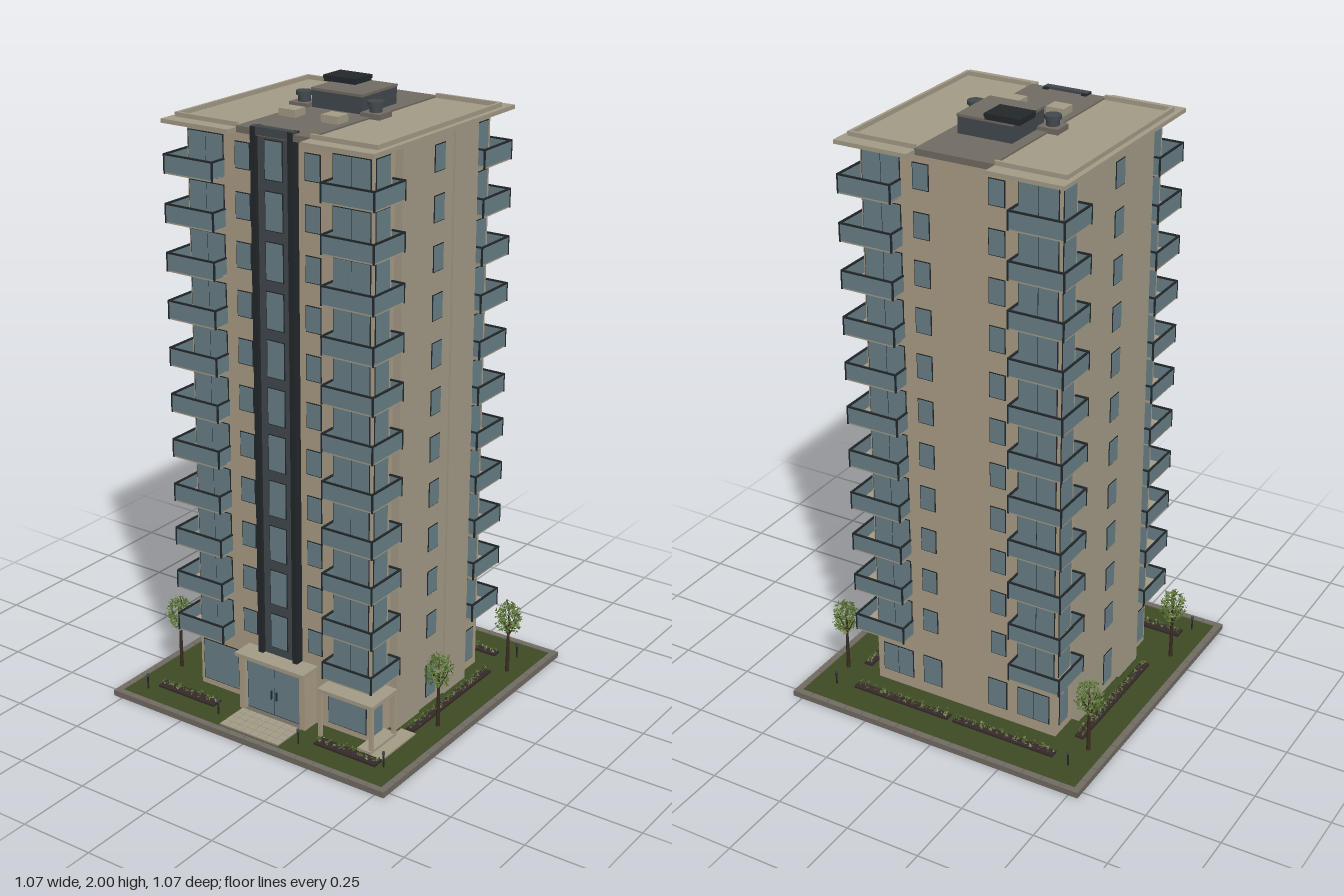
import * as THREE from 'three';
import { mergeGeometries } from 'three/addons/utils/BufferGeometryUtils.js';

const mat = (name, color) => {
  const m = new THREE.MeshStandardMaterial({ color });
  m.name = name;
  return m;
};

export function createModel() {
  const wall = mat('warm wall', 0xaa9c84), stone = mat('pale stone', 0xa39b87);
  const grey = mat('grey paving', 0x706b62), dark = mat('dark metal', 0x41484c);
  const glass = mat('blue grey glass', 0x687f86), frame = mat('black frame', 0x22272a);
  const grass = mat('grass', 0x3e4a24), soil = mat('soil', 0x35292a);
  const leaf = mat('leaf green', 0x5a7434), bark = mat('bark', 0x3a2c22);
  leaf.side = THREE.DoubleSide;

  // Geometry is gathered by part name and merged into one mesh per part
  const parts = new Map();
  const add = (name, material, geo) => {
    if (!parts.has(name)) parts.set(name, { material, list: [] });
    parts.get(name).list.push(geo);
  };
  const box = (name, m, x0, x1, y0, y1, z0, z1) => {
    const g = new THREE.BoxGeometry(Math.abs(x1 - x0), y1 - y0, Math.abs(z1 - z0));
    add(name, m, g.translate((x0 + x1) / 2, (y0 + y1) / 2, (z0 + z1) / 2));
  };
  const cyl = (name, m, r0, r1, h, x, y, z, n = 16) =>
    add(name, m, new THREE.CylinderGeometry(r0, r1, h, n).translate(x, y + h / 2, z));
  let seed = 7;
  const rnd = () => (seed = (seed * 16807) % 2147483647) / 2147483647;

  // Framed window facing along z (or x): a, b span the wall, p is the wall plane, s its outward sign
  const win = (axis, a, b, y0, y1, p, s, panes = 1) => {
    const put = (name, m, u0, u1, v0, v1, d) => axis === 'z'
      ? box(name, m, u0, u1, v0, v1, p - s * 0.002, p + s * d)
      : box(name, m, p - s * 0.002, p + s * d, v0, v1, u0, u1);
    put('windowFrames', frame, a - 0.003, b + 0.003, y0 - 0.003, y1 + 0.003, 0.002);
    const w = (b - a) / panes;
    for (let i = 0; i < panes; i++)
      put('windowPanes', glass, a + i * w + (i ? 0.0015 : 0), a + (i + 1) * w - (i < panes - 1 ? 0.0015 : 0), y0, y1, 0.004);
  };

  // Leaf cluster: small randomly turned triangles around a centre
  const leaves = (name, count, cx, cy, cz, rx, ry, rz, size) => {
    const pos = [];
    for (let i = 0; i < count; i++) {
      const t = rnd() * 6.283, u = rnd() * 2 - 1, r = Math.cbrt(0.15 + 0.85 * rnd()), q = Math.sqrt(1 - u * u);
      const c = [cx + rx * r * q * Math.cos(t), cy + ry * r * u, cz + rz * r * q * Math.sin(t)];
      for (let k = 0; k < 3; k++) for (let j = 0; j < 3; j++) pos.push(c[j] + (rnd() - 0.5) * size);
    }
    const g = new THREE.BufferGeometry();
    g.setAttribute('position', new THREE.Float32BufferAttribute(pos, 3));
    g.computeVertexNormals();
    add(name, leaf, g);
  };

  // Plot: paved kerb stones around a lawn
  box('base', grey, -0.533, 0.533, 0, 0.014, -0.533, 0.533);
  box('lawn', grass, -0.511, 0.511, 0.012, 0.017, -0.511, 0.511);
  for (let i = 0; i < 16; i++) {
    const a = -0.533 + i * 0.0667, b = a + 0.0645;
    for (const s of [-1, 1]) {
      box('kerbStones', grey, a, b, 0.01, 0.02, s * 0.511, s * 0.533);
      box('kerbStones', grey, s * 0.511, s * 0.533, 0.01, 0.02, a, b);
    }
  }

  // Tower body and side bays
  box('towerBody', wall, -0.335, 0.335, 0.015, 1.91, -0.315, 0.315);
  for (const s of [-1, 1]) {
    box('sideBays', stone, s * 0.3, s * 0.362, 0.015, 1.908, 0.075, 0.205);
    box('sideBays', stone, s * 0.3, s * 0.362, 0.015, 1.908, -0.205, -0.075);
    box('sideBays', stone, s * 0.3, s * 0.355, 0.015, 1.908, -0.08, 0.08);
  }

  // Central front pier with ribs
  box('frontPier', dark, -0.072, 0.072, 0.2, 1.922, 0.31, 0.332);
  for (const s of [-1, 1]) box('pierRibs', frame, s * 0.058, s * 0.076, 0.2, 1.928, 0.31, 0.345);
  box('pierCap', dark, -0.076, 0.076, 1.905, 1.93, 0.32, 0.343);

  // Eleven floors of windows and wrap-around corner balconies
  for (let f = 0; f < 11; f++) {
    const y = 0.23 + f * 0.1525;
    win('z', -0.03, 0.03, y + 0.022, y + 0.136, 0.332, 1);
    for (const s of [-1, 1]) {
      const span = (a, b) => (s > 0 ? [a, b] : [-b, -a]);
      win('x', -0.025, 0.025, y + 0.035, y + 0.112, s * 0.355, s);
      for (const t of [-1, 1]) {
        const [a, b] = span(0.102, 0.152), [c, d] = span(0.2, 0.327);
        win('z', a, b, y + 0.035, y + 0.112, t * 0.315, t);
        win('z', c, d, y + 0.008, y + 0.124, t * 0.315, t, 2);
        const [e, g] = t > 0 ? [0.232, 0.3] : [-0.3, -0.232];
        win('x', e, g, y + 0.008, y + 0.124, s * 0.335, s);
        // L-shaped slab
        box('balconySlabs', stone, s * 0.195, s * 0.378, y - 0.006, y + 0.004, t * 0.31, t * 0.374);
        box('balconySlabs', stone, s * 0.33, s * 0.378, y - 0.006, y + 0.004, t * 0.215, t * 0.31);
        // Glass parapets, including the short returns to the wall
        const rails = [[0.195, 0.379, 0.371, 0.375], [0.375, 0.379, 0.215, 0.375],
          [0.195, 0.199, 0.315, 0.375], [0.335, 0.379, 0.215, 0.219]];
        for (const [x0, x1, z0, z1] of rails) {
          box('balconyGlass', glass, s * x0, s * x1, y - 0.001, y + 0.051, t * z0, t * z1);
          box('balconyRails', frame, s * (x0 - 0.001), s * (x1 + 0.001), y + 0.051, y + 0.056, t * (z0 - 0.001), t * (z1 + 0.001));
        }
        for (const [x, z] of [[0.378, 0.374], [0.197, 0.374], [0.378, 0.217]])
          box('balconyPosts', frame, s * (x - 0.003), s * (x + 0.002), y - 0.006, y + 0.055, t * (z - 0.003), t * (z + 0.002));
      }
    }
  }

  // Ground floor windows
  for (const s of [-1, 1]) {
    const sp = (a, b) => (s > 0 ? [a, b] : [-b, -a]);
    win('z', ...sp(0.18, 0.32), 0.04, 0.18, 0.315, 1);
    win('z', ...sp(0.2, 0.31), 0.06, 0.16, -0.315, -1, 2);
    win('z', ...sp(0.09, 0.155), 0.06, 0.16, -0.315, -1);
    win('x', -0.025, 0.025, 0.05, 0.16, s * 0.355, s);
    win('x', -0.29, -0.24, 0.05, 0.16, s * 0.335, s);
  }
  win('x', 0.235, 0.3, 0.04, 0.16, -0.335, -1);

  // Main entrance: portal, canopy, double doors and paved path
  for (const s of [-1, 1]) box('entrancePortal', wall, s * 0.108, s * 0.13, 0.015, 0.2, 0.31, 0.378);
  box('entrancePortal', wall, -0.13, 0.13, 0.198, 0.212, 0.31, 0.378);
  box('entranceCanopy', stone, -0.135, 0.135, 0.21, 0.222, 0.31, 0.393);
  win('z', -0.105, 0.105, 0.025, 0.193, 0.36, 1, 2);
  box('entranceLobby', dark, -0.108, 0.108, 0.015, 0.2, 0.31, 0.359);
  for (const x of [-0.01, 0.01]) box('doorHandles', frame, x - 0.002, x + 0.002, 0.08, 0.11, 0.362, 0.37);
  box('entrancePath', grey, -0.116, 0.116, 0.015, 0.02, 0.36, 0.505);
  for (let i = 0; i < 8; i++) for (let j = 0; j < 4; j++)
    box('pathTiles', stone, -0.115 + i * 0.029, -0.0875 + i * 0.029, 0.018, 0.022, 0.382 + j * 0.03, 0.4105 + j * 0.03);

  // Corner side porch
  box('porchRoof', stone, 0.18, 0.387, 0.175, 0.188, 0.31, 0.38);
  box('porchRoof', stone, 0.33, 0.387, 0.175, 0.188, 0.24, 0.31);
  for (const [x, z] of [[0.38, 0.373], [0.38, 0.247], [0.187, 0.373]])
    box('porchPosts', wall, x - 0.006, x + 0.006, 0.015, 0.176, z - 0.006, z + 0.006);
  win('x', 0.25, 0.305, 0.025, 0.16, 0.335, 1);
  box('porchStep', stone, 0.335, 0.385, 0.015, 0.032, 0.24, 0.385);
  box('porchPath', stone, 0.375, 0.428, 0.015, 0.023, 0.197, 0.4);

  // Roof: two side slabs, grey middle strip and a low rim
  for (const s of [-1, 1]) {
    box('roofSlabs', stone, s * 0.13, s * 0.38, 1.904, 1.917, -0.383, 0.38);
    box('roofRim', stone, s * 0.353, s * 0.363, 1.915, 1.931, -0.335, 0.335);
    for (const t of [-1, 1]) box('roofRim', stone, s * 0.131, s * 0.363, 1.915, 1.931, t * 0.325, t * 0.335);
  }
  box('roofStrip', grey, -0.13, 0.13, 1.902, 1.922, -0.34, 0.34);

  // Roof plant room, vents and hatches
  box('plantRoom', dark, -0.093, 0.09, 1.92, 1.974, -0.17, 0.016);
  box('plantRoomTop', grey, -0.095, 0.092, 1.974, 1.982, -0.172, 0.018);
  box('plantRoomHood', frame, -0.12, -0.004, 1.981, 1.99, -0.173, -0.084);
  box('plantRoomHood', dark, -0.122, -0.002, 1.989, 2, -0.175, -0.082);
  for (const s of [-1, 1]) {
    box('ventBases', grey, s * 0.097, s * 0.165, 1.915, 1.934, -0.031, 0.035);
    cyl('ventStacks', dark, 0.02, 0.02, 0.028, s * 0.131, 1.93, 0.002);
    cyl('ventCaps', dark, 0.026, 0.026, 0.012, s * 0.131, 1.954, 0.002);
    box('roofHatches', stone, s * 0.077 - 0.03, s * 0.077 + 0.03, 1.92, 1.945, 0.111, 0.165);
  }

  // Planting beds with small shrubs
  const beds = [[-0.378, -0.01, -0.415, -0.385], [0.01, 0.37, -0.415, -0.385], [-0.42, -0.39, -0.285, 0.187],
    [0.387, 0.417, -0.285, 0.187], [-0.43, -0.2, 0.387, 0.428], [0.2, 0.43, 0.387, 0.428]];
  for (const [x0, x1, z0, z1] of beds) {
    box('plantingBeds', soil, x0, x1, 0.013, 0.024, z0, z1);
    const alongX = x1 - x0 > z1 - z0, len = alongX ? x1 - x0 : z1 - z0, n = Math.round(len / 0.03);
    for (let i = 0; i < n; i++) {
      const d = (i + 0.5) / n * len;
      leaves('shrubs', 14, alongX ? x0 + d : (x0 + x1) / 2, 0.033, alongX ? (z0 + z1) / 2 : z0 + d, 0.011, 0.012, 0.011, 0.014);
    }
  }

  // Trees: slim trunk, forked branches and a loose crown
  for (const [x, z] of [[-0.457, -0.32], [0.455, -0.325], [0.455, 0.107], [-0.457, 0.275]]) {
    cyl('treeTrunks', bark, 0.004, 0.007, 0.19, x, 0.015, z, 7);
    for (let i = 0; i < 6; i++) {
      const g = new THREE.CylinderGeometry(0.001, 0.003, 0.075, 5).translate(0, 0.0375, 0);
      add('treeBranches', bark, g.rotateZ(0.45).rotateY(i * 1.05).translate(x, 0.15 + (i % 3) * 0.016, z));
    }
    leaves('treeCrowns', 380, x, 0.217, z, 0.044, 0.058, 0.044, 0.018);
  }

  // Garden bollard lights
  for (const [x, z] of [[-0.44, -0.423], [0.435, -0.423], [-0.452, 0.455], [0.45, 0.41], [-0.16, 0.452], [0.158, 0.452]]) {
    cyl('bollardPosts', frame, 0.003, 0.003, 0.05, x, 0.015, z, 8);
    cyl('bollardHeads', dark, 0.005, 0.005, 0.01, x, 0.06, z, 10);
  }

  const group = new THREE.Group();
  group.name = 'apartmentTower';
  for (const [name, { material, list }] of parts) {
    const mesh = new THREE.Mesh(mergeGeometries(list), material);
    mesh.name = name;
    group.add(mesh);
  }
  return group;
}
